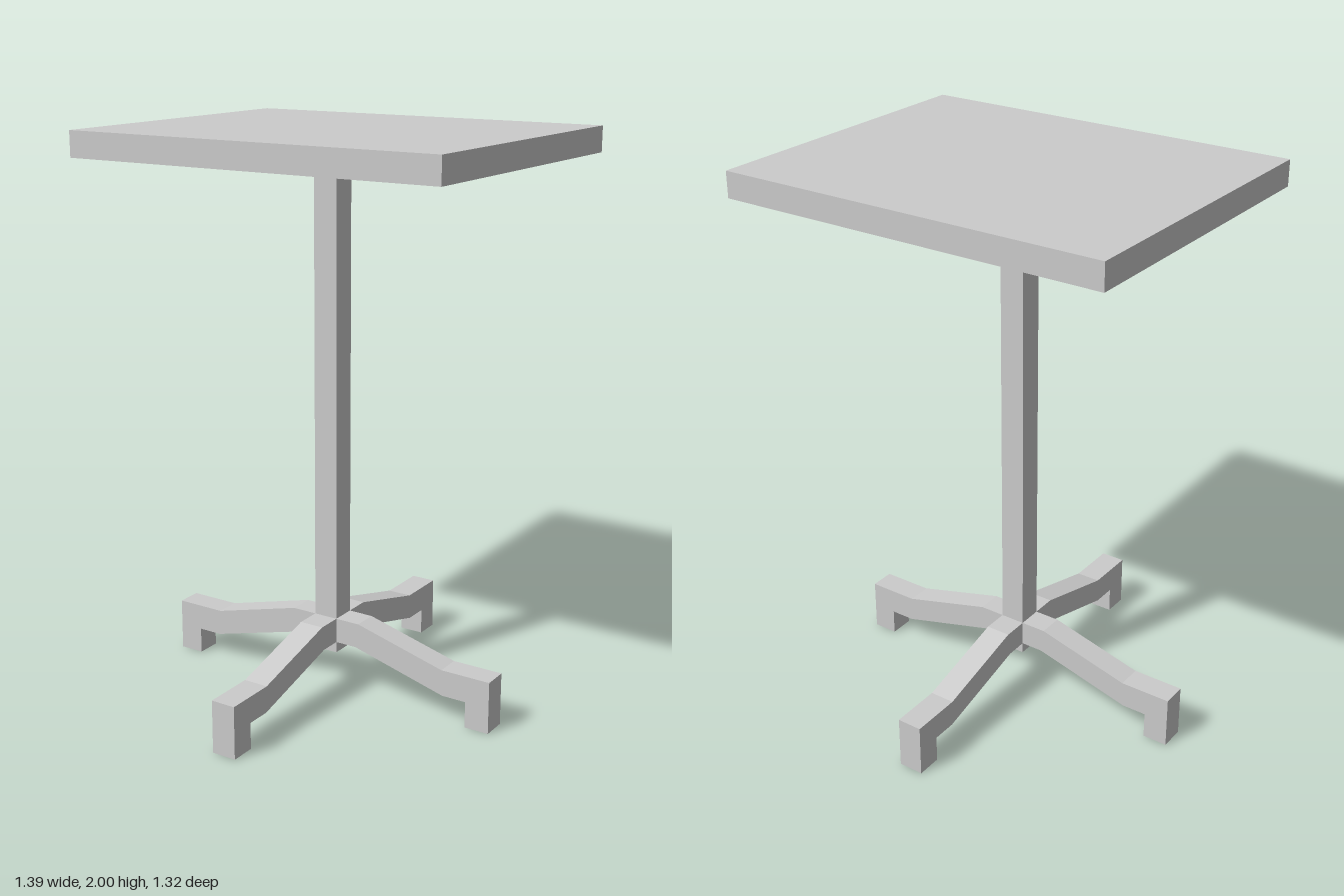
import * as THREE from 'three';

export function createModel() {
  const group = new THREE.Group();
  const material = new THREE.MeshStandardMaterial({ color: 0xcccccc, flatShading: true });

  function add(name, geometry) {
    const mesh = new THREE.Mesh(geometry, material);
    mesh.name = name;
    group.add(mesh);
    return mesh;
  }

  // Tabletop, set slightly towards the back
  add('tabletop', new THREE.BoxGeometry(1.394, 0.09, 1.115)).position.set(0, 1.955, -0.047);

  // Square column, its end poking out just below the legs
  const columnBottom = 0.15, columnTop = 1.91, thickness = 0.09;
  add('column', new THREE.BoxGeometry(thickness, columnTop - columnBottom, thickness))
    .position.y = (columnTop + columnBottom) / 2;

  // Side profile of one bent leg with its foot, from the column outwards
  const profile = new THREE.Shape([
    [0, 0.19], [0.125, 0.19], [0.48, 0.095], [0.57, 0.095], [0.57, 0],
    [0.66, 0], [0.66, 0.19], [0.475, 0.19], [0.137, 0.28], [0, 0.28],
  ].map(([x, y]) => new THREE.Vector2(x, y)));
  const legGeometry = new THREE.ExtrudeGeometry(profile, { depth: thickness, bevelEnabled: false });
  legGeometry.translate(0, 0, -thickness / 2);

  // Four legs in a cross
  ['leftLeg', 'backLeg', 'rightLeg', 'frontLeg'].forEach((name, i) => {
    add(name, legGeometry).rotation.y = i * Math.PI / 2;
  });

  return group;
}
